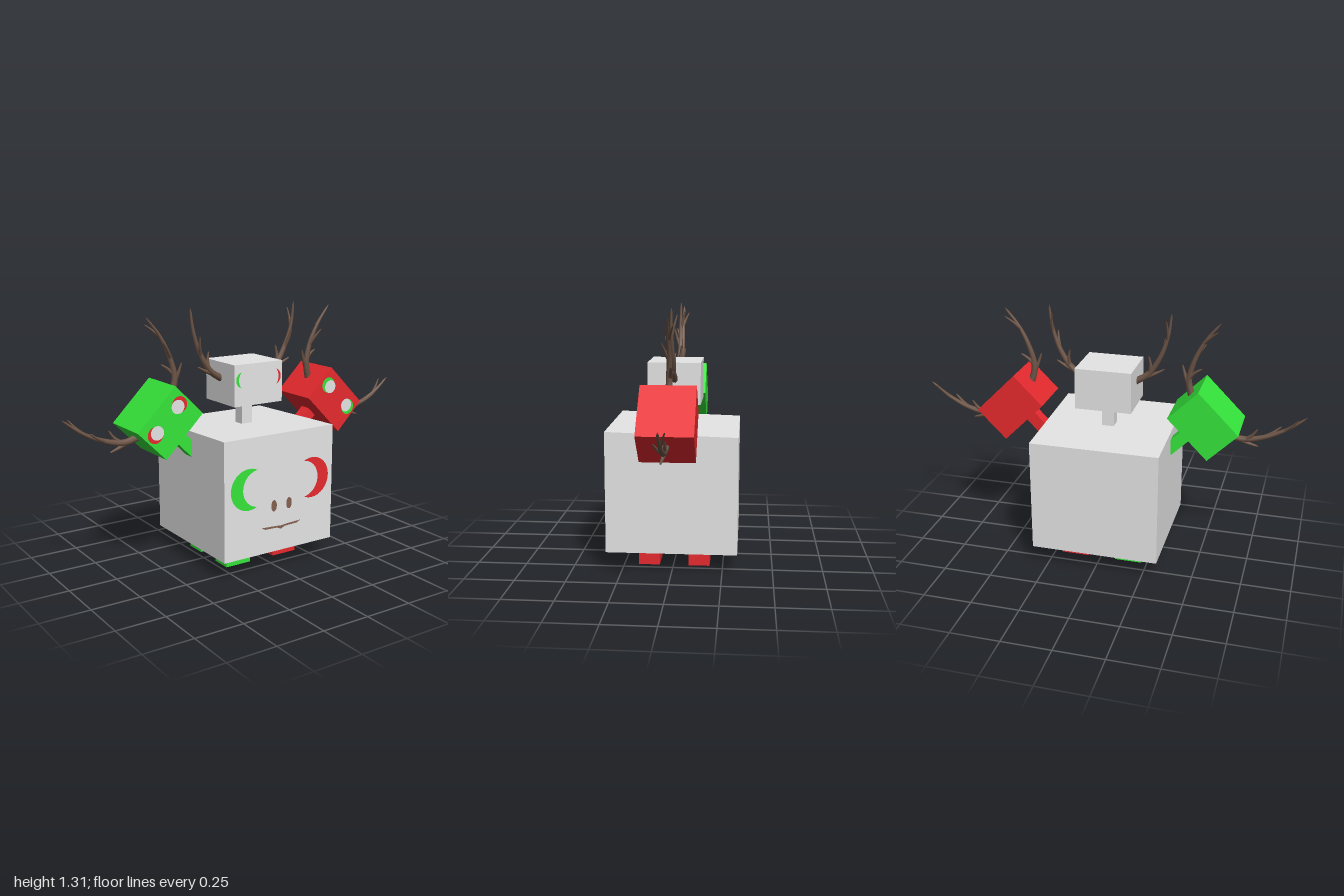
import * as THREE from 'three';

const mat = (name, color) => {
  const m = new THREE.MeshStandardMaterial({ color });
  m.name = name;
  return m;
};

export function createModel() {
  const grey = mat('stone grey', 0xe5e5e5);
  const red = mat('bright red', 0xec2b30);
  const green = mat('bright green', 0x36e63b);
  const bark = mat('antler brown', 0x6f5648);
  const brown = mat('face brown', 0x84614f);

  const root = new THREE.Group();
  root.name = 'hornedCreature';

  const add = (parent, name, geo, material, x = 0, y = 0, z = 0) => {
    const m = new THREE.Mesh(geo, material);
    m.name = name;
    m.position.set(x, y, z);
    parent.add(m);
    return m;
  };
  const box = (w, h, d) => new THREE.BoxGeometry(w, h, d);

  // Tube along points that narrows from r0 to r1, ending in a point
  function taperedTube(points, r0, r1, segs = 10, sides = 7) {
    const curve = new THREE.CatmullRomCurve3(points.map(p => new THREE.Vector3(...p)));
    const geo = new THREE.TubeGeometry(curve, segs, 1, sides);
    const pos = geo.attributes.position, v = new THREE.Vector3();
    for (let i = 0; i < pos.count; i++) {
      const t = Math.floor(i / (sides + 1)) / segs;
      const c = curve.getPointAt(t);
      const r = t === 1 ? 0.0005 : r0 + (r1 - r0) * t;
      v.fromBufferAttribute(pos, i).sub(c).multiplyScalar(r).add(c);
      pos.setXYZ(i, v.x, v.y, v.z);
    }
    return geo;
  }

  // Antler: curved beam with four tines; side is +1 or -1
  function antler(side) {
    const g = new THREE.Group();
    g.name = side > 0 ? 'leftAntler' : 'rightAntler';
    const part = (name, pts, r0, r1, segs) =>
      add(g, name, taperedTube(pts.map(([x, y, z]) => [x * side, y, z]), r0, r1, segs), bark);
    part('beam', [[0.13, 0.015, 0], [0.2, 0.06, 0.003], [0.26, 0.155, 0],
      [0.298, 0.27, 0.002], [0.312, 0.382, 0]], 0.019, 0.005, 18);
    part('outerTine', [[0.185, 0.045, 0], [0.235, 0.065, 0.006], [0.282, 0.09, 0.012]], 0.013, 0.004);
    part('innerTine', [[0.21, 0.07, 0], [0.212, 0.115, -0.006], [0.203, 0.16, -0.01]], 0.012, 0.004);
    part('frontTine', [[0.255, 0.14, 0], [0.27, 0.19, 0.018], [0.278, 0.245, 0.034]], 0.011, 0.004);
    part('backTine', [[0.295, 0.25, 0], [0.295, 0.3, -0.013], [0.29, 0.35, -0.027]], 0.009, 0.003);
    return g;
  }

  // Eye: coloured disc partly covered by an inward-set grey pupil, leaving a crescent
  function eye(parent, side, material, x, y, z, r, shift, pupilR) {
    const g = new THREE.Group();
    g.name = side > 0 ? 'leftEye' : 'rightEye';
    add(g, 'iris', new THREE.CircleGeometry(r, 32), material, side * x, y, z + 0.002);
    add(g, 'pupil', new THREE.CircleGeometry(pupilR, 32), grey, side * (x - shift), y, z + 0.004);
    parent.add(g);
  }

  // Head with neck, two eyes and two antlers, tilted about z
  function head(name, material, rightEyeMat, leftEyeMat, x, y, tilt, pupilShift, pupilR) {
    const g = new THREE.Group();
    g.name = name;
    add(g, 'skull', box(0.289, 0.211, 0.266), material, 0, -0.003, 0.002);
    add(g, 'neck', box(0.062, 0.19, 0.06), material, 0, -0.195, 0);
    for (const side of [-1, 1]) {
      eye(g, side, side < 0 ? rightEyeMat : leftEyeMat, 0.094, 0.024, 0.135, 0.041, pupilShift, pupilR);
      g.add(antler(side));
    }
    g.position.set(x, y, 0);
    g.rotation.z = tilt;
    root.add(g);
  }
  head('middleHead', grey, green, red, 0.001, 0.924, 0, 0.036, 0.062);
  head('leftHead', red, green, green, 0.5, 0.782, -Math.PI / 4, 0.014, 0.035);
  head('rightHead', green, red, red, -0.505, 0.785, Math.PI / 4, 0.014, 0.035);

  // Body block, its top sloping slightly down to the back
  const bodyGeo = box(0.656, 0.609, 0.653);
  const p = bodyGeo.attributes.position;
  for (let i = 0; i < p.count; i++)
    if (p.getY(i) > 0 && p.getZ(i) < 0) p.setY(i, p.getY(i) - 0.02);
  bodyGeo.computeVertexNormals();
  add(root, 'body', bodyGeo, grey, -0.001, 0.4015, 0.002);

  // Face on the body
  const face = new THREE.Group();
  face.name = 'bodyFace';
  root.add(face);
  const faceZ = 0.3285;
  eye(face, -1, green, 0.187, 0.448, faceZ, 0.106, 0.058, 0.095);
  eye(face, 1, red, 0.195, 0.448, faceZ, 0.106, 0.058, 0.095);
  for (const x of [-0.04, 0.052]) {
    const n = add(face, 'nostril', new THREE.CircleGeometry(1, 20), brown, x, 0.34, faceZ + 0.005);
    n.scale.set(0.017, 0.03, 1);
  }
  const mouth = new THREE.Shape();
  mouth.moveTo(-0.113, 0.235);
  mouth.lineTo(-0.09, 0.223);
  mouth.lineTo(-0.02, 0.221);
  mouth.lineTo(0.005, 0.21);
  mouth.lineTo(0.03, 0.221);
  mouth.lineTo(0.105, 0.223);
  mouth.lineTo(0.128, 0.235);
  mouth.lineTo(0.06, 0.232);
  mouth.lineTo(0.005, 0.228);
  mouth.lineTo(-0.05, 0.232);
  add(face, 'mouth', new THREE.ShapeGeometry(mouth), brown, 0, 0, faceZ + 0.002);

  // Four stubby legs
  for (const [x, m] of [[-0.149, green], [0.138, red]])
    for (const [z, name] of [[0.123, 'frontLeg'], [-0.131, 'backLeg']])
      add(root, name, box(0.144, 0.11, 0.106), m, x, 0.055, z);

  return root;
}
